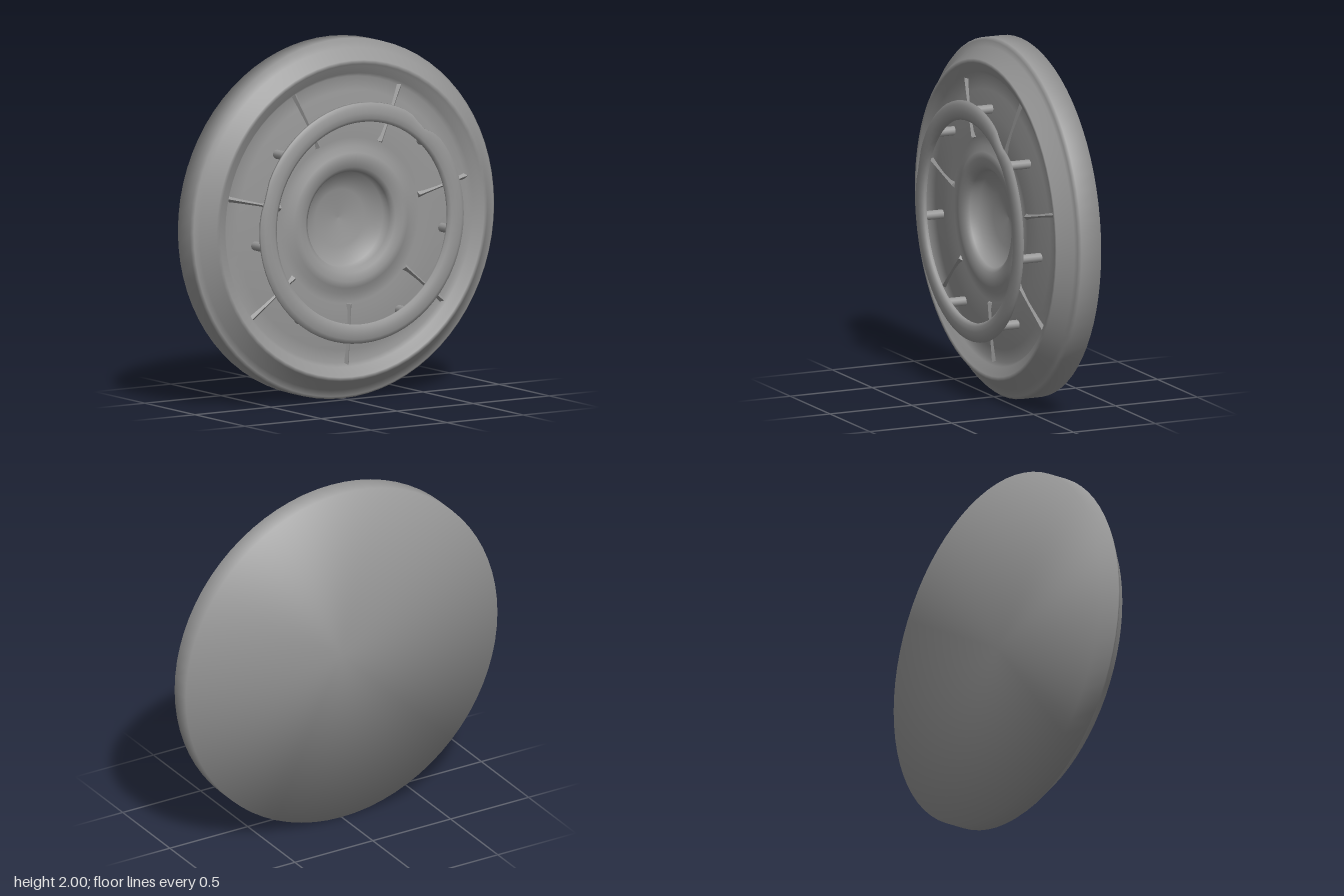
import * as THREE from 'three';

const material = new THREE.MeshStandardMaterial({ color: 0x989898 });

// Revolves a profile of [radius, z] pairs around the z axis
function revolve(profile, segments) {
  const points = profile.map(([r, z]) => new THREE.Vector2(r, z));
  return new THREE.LatheGeometry(points, segments).rotateX(Math.PI / 2);
}

export function createModel() {
  const group = new THREE.Group();
  const face = new THREE.Group();
  face.position.y = 1;
  group.add(face);

  const add = (name, geometry) => {
    const mesh = new THREE.Mesh(geometry, material);
    mesh.name = name;
    face.add(mesh);
    return mesh;
  };

  // Round body: flat back, bevelled rim, stepped lip, sunken floor, raised hub with a bowl
  const body = revolve([
    [0, -0.17], [1, -0.17], [1, -0.05], [0.985, -0.033], [0.95, -0.03],
    [0.89, 0.05], [0.868, 0.05], [0.855, 0.03], [0.815, 0.022], [0.795, -0.005],
    [0.72, 0.005], [0.6, 0.018], [0.5, 0.022], [0.46, 0.018], [0.41, 0.02], [0.375, 0.04],
    [0.34, 0.045], [0.295, 0.035], [0.27, 0.015], [0.262, -0.04], [0.16, -0.075], [0, -0.09],
  ], 72);
  // Soft shading across the back edge: normals there lean halfway outward
  const bodyPosition = body.attributes.position;
  const normal = new THREE.Vector3();
  for (let i = 0; i < bodyPosition.count; i++) {
    normal.fromBufferAttribute(bodyPosition, i);
    if (normal.z > -0.16 || Math.hypot(normal.x, normal.y) < 0.9) continue;
    normal.setZ(-1).normalize();
    body.attributes.normal.setXYZ(i, normal.x, normal.y, normal.z);
  }
  add('body', body);

  // Seven low ridges dividing the sunken floor
  const ridgeShape = new THREE.Shape([
    new THREE.Vector2(-0.03, -0.02), new THREE.Vector2(0.03, -0.02), new THREE.Vector2(0, 0.012),
  ]);
  const ridgeGeometry = new THREE.ExtrudeGeometry(ridgeShape, { depth: 0.34, bevelEnabled: false })
    .rotateY(Math.PI / 2).rotateX(Math.PI / 2).rotateY(0.08).translate(0.465, 0, 0.026);
  for (let i = 0; i < 7; i++) {
    add('ridge', ridgeGeometry).rotation.z = -Math.PI / 2 + (i * 2 * Math.PI) / 7;
  }

  // Raised ring with rounded edges
  const ring = revolve([
    [0.565, 0.136], [0.655, 0.136], [0.67, 0.142], [0.668, 0.152], [0.645, 0.164],
    [0.61, 0.167], [0.58, 0.164], [0.562, 0.152], [0.565, 0.136],
  ], 72);
  // Worn dents along the outer edge of the ring
  const position = ring.attributes.position;
  for (let i = 0; i < position.count; i++) {
    const x = position.getX(i), y = position.getY(i);
    const r = Math.hypot(x, y), angle = Math.atan2(y, x);
    const dent = 0.032 * Math.exp(-(((angle - 0.9) / 0.11) ** 2))
      + 0.012 * Math.exp(-(((angle - 2.85) / 0.1) ** 2));
    const k = 1 - (dent * THREE.MathUtils.clamp((r - 0.58) / 0.09, 0, 1)) / r;
    position.setXY(i, x * k, y * k);
  }
  add('ring', ring);

  // Posts holding the ring above the floor
  const postGeometry = new THREE.CylinderGeometry(0.026, 0.026, 0.15, 12).rotateX(Math.PI / 2);
  for (let i = -3; i <= 3; i++) {
    const angle = Math.PI / 2 + THREE.MathUtils.degToRad(49.3 * i);
    add('post', postGeometry).position.set(0.62 * Math.cos(angle), 0.62 * Math.sin(angle), 0.07);
  }

  return group;
}
